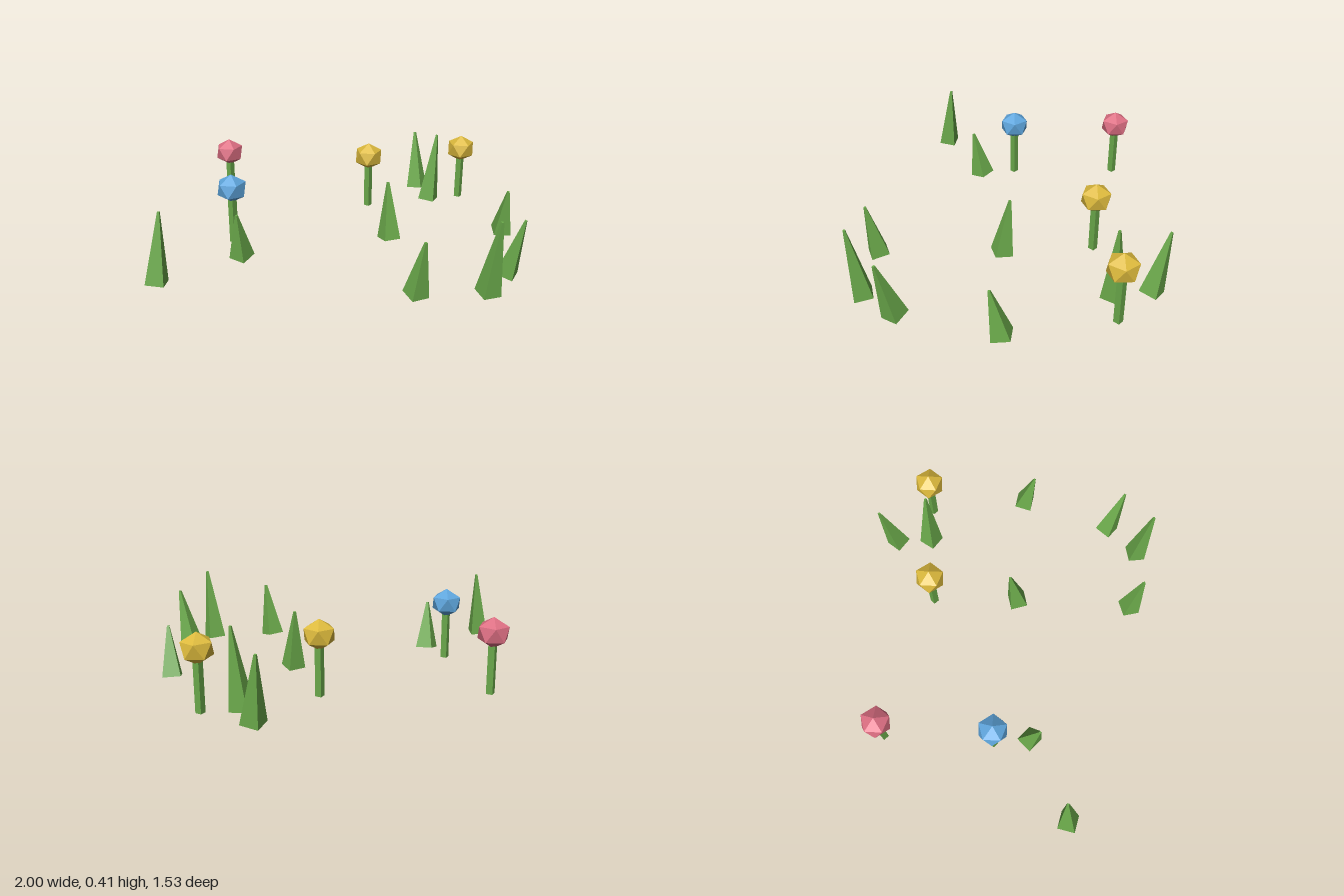
import * as THREE from 'three';

const flat = (name, color) => {
  const m = new THREE.MeshStandardMaterial({ color, flatShading: true });
  m.name = name;
  return m;
};

const UP = new THREE.Vector3(0, 1, 0);

// Flowers: x, z, colour
const FLOWERS = [
  [-0.535, -0.652, 'red'],
  [-0.545, -0.057, 'blue'],
  [0.275, -0.447, 'yellow'],
  [0.856, -0.5, 'yellow'],
];

// Grass blades: base x, base z, tip x, tip y, tip z, turn in degrees
const BLADES = [
  [-0.943, 0.357, -0.905, 0.378, 0.33, 13],
  [-0.513, 0.135, -0.533, 0.27, 0.185, 41],
  [0.3, 0.03, 0.297, 0.325, -0.012, -15],
  [0.943, 0.04, 0.945, 0.273, 0.095, 9],
  [0.643, -0.692, 0.635, 0.355, -0.757, 37],
  [0.665, -0.5, 0.703, 0.415, -0.5, 32],
  [0.79, 0.537, 0.838, 0.333, 0.605, 36],
  [0.29, 0.67, 0.315, 0.307, 0.715, -18],
  [0.637, 0.707, 0.66, 0.405, 0.755, -12],
];

export function createModel() {
  const group = new THREE.Group();
  const green = flat('leafGreen', 0x6aa84a);
  const petals = {
    red: flat('roseRed', 0xdc6e82),
    blue: flat('skyBlue', 0x5ea5dc),
    yellow: flat('goldYellow', 0xdcb93c),
  };

  // Flower head: icosahedron standing on a corner, slightly squashed
  const headGeo = new THREE.IcosahedronGeometry(1, 0);
  headGeo.rotateZ(-Math.atan(2 / (1 + Math.sqrt(5))));
  headGeo.scale(0.085, 0.078, 0.085);
  // Four-sided stem with corners on the axes
  const stemGeo = new THREE.CylinderGeometry(0.0235, 0.0235, 0.27, 4);

  for (const [x, z, colour] of FLOWERS) {
    const flower = new THREE.Group();
    flower.name = 'flower';
    const stem = new THREE.Mesh(stemGeo, green);
    stem.name = 'stem';
    stem.position.y = 0.147;
    const head = new THREE.Mesh(headGeo, petals[colour]);
    head.name = 'flowerHead';
    head.position.y = 0.324;
    flower.add(stem, head);
    flower.position.set(x, 0, z);
    group.add(flower);
  }

  // Grass blades: tall four-sided spikes, tilted as a whole
  for (const [x, z, tx, ty, tz, turn] of BLADES) {
    const lean = Math.hypot(tx - x, tz - z) / ty;
    const base = new THREE.Vector3(x, 0.004 + 0.055 * lean, z);
    const axis = new THREE.Vector3(tx, ty, tz).sub(base);
    const h = axis.length();
    const geo = new THREE.CylinderGeometry(0.008, 0.0665, h, 4);
    geo.rotateY(Math.PI / 4 - THREE.MathUtils.degToRad(turn));
    geo.translate(0, h / 2, 0);
    const blade = new THREE.Mesh(geo, green);
    blade.name = 'grassBlade';
    blade.quaternion.setFromUnitVectors(UP, axis.normalize());
    blade.position.copy(base);
    group.add(blade);
  }
  return group;
}
